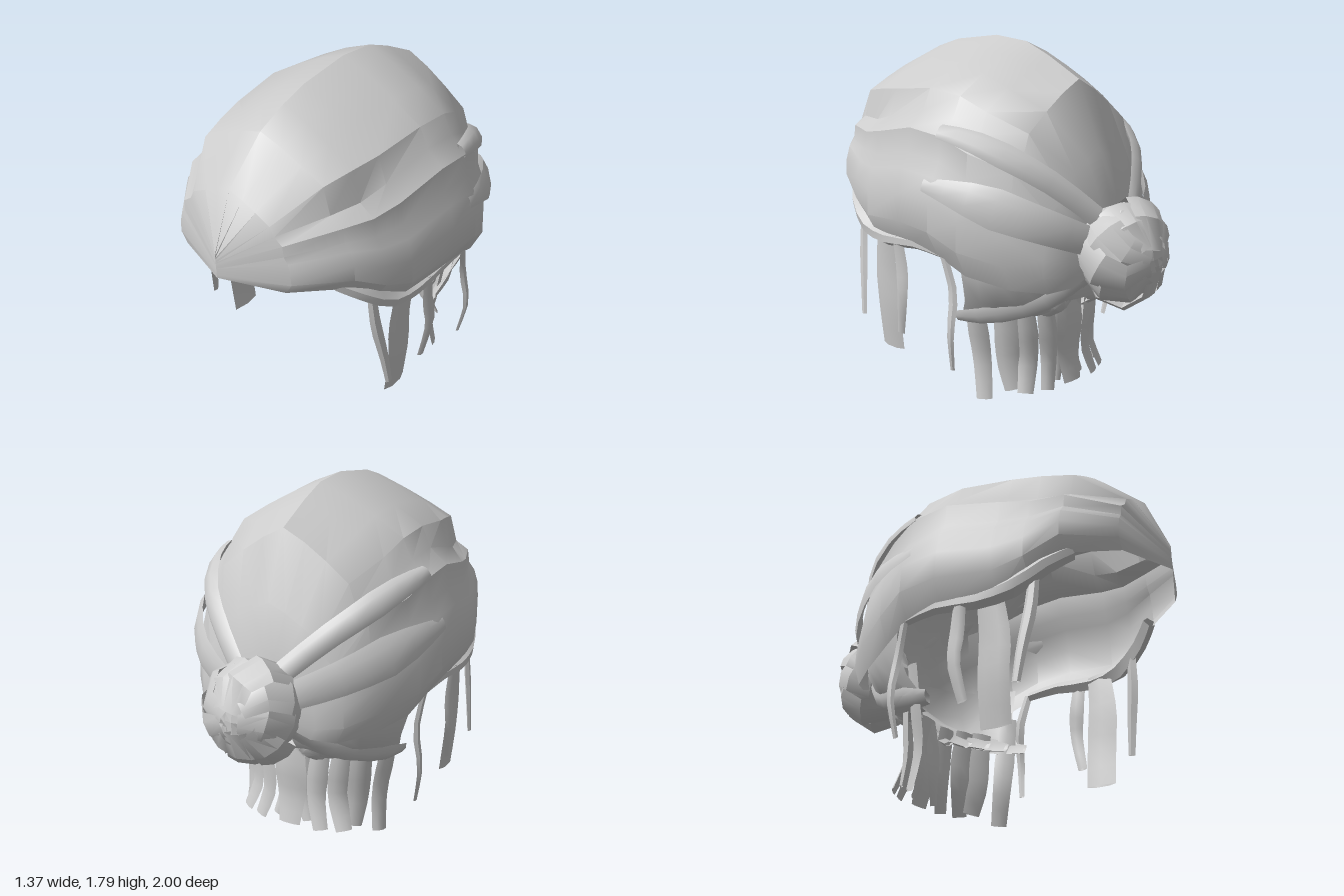
import * as THREE from 'three';
import { toCreasedNormals } from 'three/addons/utils/BufferGeometryUtils.js';

const material = new THREE.MeshStandardMaterial({ color: 0xcccccc, side: THREE.DoubleSide });

// Skin a list of cross-sections (rows of Vector3) into one surface
function loft(rows, closed = false, crease = 0.7) {
  const n = rows[0].length, pos = [], idx = [];
  rows.forEach(r => r.forEach(p => pos.push(p.x, p.y, p.z)));
  for (let i = 0; i < rows.length - 1; i++)
    for (let j = 0; j < (closed ? n : n - 1); j++) {
      const a = i * n + j, b = i * n + (j + 1) % n;
      idx.push(a, b, a + n, b, b + n, a + n);
    }
  const g = new THREE.BufferGeometry();
  g.setAttribute('position', new THREE.Float32BufferAttribute(pos, 3));
  g.setIndex(idx);
  return toCreasedNormals(g, crease);
}

const V = (x, y, z) => new THREE.Vector3(x, y, z);

function add(group, name, geometry) {
  const m = new THREE.Mesh(geometry, material);
  m.name = name;
  group.add(m);
}

// Tapered lock of hair: lens section swept along a path, lying flat around a centre.
// Without a centre the lock faces away from the vertical axis.
function lock(points, width, thick, { centre = null, tip = 0.6, root = 0.8, steps = 7 } = {}) {
  const curve = new THREE.CatmullRomCurve3(points.map(p => V(...p)));
  const rows = [];
  for (let i = 0; i <= steps; i++) {
    const t = i / steps, p = curve.getPoint(t), tan = curve.getTangent(t);
    const out = centre ? p.clone().sub(centre) : V(p.x, 0, p.z);
    const across = tan.clone().cross(out).normalize();
    const nrm = across.clone().cross(tan).normalize();
    const k = t < 0.4 ? root + (1 - root) * t / 0.4 : 1 + (tip - 1) * (t - 0.4) / 0.6;
    rows.push([[-0.5, 0], [-0.22, 0.5], [0.22, 0.5], [0.5, 0], [0, -0.4]].map(([a, b]) =>
      p.clone().addScaledVector(across, a * width * k).addScaledVector(nrm, b * thick * k)));
  }
  return loft(rows, true);
}

// Same lock on the left and the right
function pair(group, name, points, width, thick, options) {
  for (const s of [1, -1])
    add(group, (s > 0 ? 'left' : 'right') + name,
      lock(points.map(([x, y, z]) => [x * s, y, z]), width, thick, options));
}

export function createModel() {
  const model = new THREE.Group();
  model.name = 'hair';

  // Cap: arches from rim to rim, stepped where the layers overlap; the steps dip towards the front
  const profile = [[0, 1], [0.22, 0.94], [0.44, 0.86], [0.67, 0.765], [0.74, 0.66], [0.87, 0.585],
    [0.89, 0.46], [0.95, 0.39], [0.99, 0.27], [1, 0.13], [0.9, 0]];
  const arch = [...profile.slice(1).reverse().map(([u, h]) => [-u, h]), ...profile];
  const stations = [ // z, top, rim, half width, step height
    [1, 1.15, 1.02, 0, 1], [0.88, 1.44, 1.01, 0.35, 1], [0.66, 1.64, 0.98, 0.54, 0.85],
    [0.5, 1.71, 0.86, 0.6, 0.88], [0.35, 1.755, 0.78, 0.645, 0.95], [0.06, 1.79, 0.8, 0.685, 1],
    [-0.15, 1.77, 0.78, 0.68, 1], [-0.3, 1.71, 0.7, 0.635, 1], [-0.5, 1.61, 0.65, 0.52, 1],
    [-0.64, 1.28, 0.64, 0.4, 1], [-0.7, 1.08, 0.66, 0.28, 1], [-0.73, 0.9, 0.74, 0.06, 1]];
  add(model, 'cap', loft(stations.map(([z, top, rim, w, k]) =>
    arch.map(([u, h]) => V(u * w, rim + h * (Math.abs(u) > 0.7 ? k : 1) * (top - rim), z))), false, 0.6));

  // Nape: hair below the cap rim, drawn inwards
  const nape = [];
  for (let i = 0; i <= 14; i++) {
    const a = -Math.PI / 2 + Math.PI * i / 14, s = Math.sin(a), c = Math.cos(a);
    nape.push([V(0.57 * s, 0.84, -0.24 - 0.44 * c), V(0.55 * s, 0.68, -0.25 - 0.44 * c),
      V(0.5 * s, 0.55, -0.22 - 0.4 * c), V(0.45 * s, 0.42 + 0.09 * c, -0.14 - 0.36 * c)]);
  }
  add(model, 'nape', loft(nape));

  // Locks gathered from the nape up to the bun
  for (let i = 0; i < 5; i++) {
    const x = 0.46 - i * 0.075, z = -0.12 - i * 0.075;
    pair(model, 'NapeLock', [[x, 0.43, z], [x * 0.93, 0.46 + i * 0.012, z - 0.16 + i * 0.015],
      [x * 0.65, 0.55, -0.53], [0.06 + x * 0.25, 0.68, -0.67]], 0.14, 0.06,
    { centre: V(0, 0.8, -0.15), tip: 0.75, root: 0.55 });
  }

  // Overlapping locks on the cap: bands to the bun, roll along the rim
  pair(model, 'SweptBand', [[0.575, 1.38, -0.13], [0.53, 1.35, -0.3], [0.43, 1.26, -0.5],
    [0.3, 1.15, -0.63], [0.13, 0.99, -0.74]], 0.13, 0.05, { centre: V(0, 0.9, 0), tip: 0.8, root: 0.6 });
  pair(model, 'LowerBand', [[0.66, 1.13, -0.1], [0.615, 1.1, -0.32], [0.5, 1.03, -0.52],
    [0.36, 0.96, -0.66], [0.18, 0.88, -0.74]], 0.2, 0.035, { centre: V(0, 0.9, 0), tip: 0.7, root: 0.3 });
  pair(model, 'RimRoll', [[0.44, 1.0, 0.67], [0.52, 0.92, 0.57], [0.57, 0.82, 0.42],
    [0.59, 0.79, 0.25], [0.6, 0.81, 0.02], [0.59, 0.79, -0.16]], 0.1, 0.09, { tip: 0.5, steps: 10 });

  // Bun: lumpy ball wrapped in coiled, uneven locks
  const c = V(0, 0.8, -0.8);
  const ball = new THREE.SphereGeometry(1, 12, 8).toNonIndexed();
  const p = ball.attributes.position;
  for (let i = 0; i < p.count; i++) {
    const v = new THREE.Vector3().fromBufferAttribute(p, i);
    const k = 1 + 0.05 * Math.sin(5 * v.x + 3 * v.y) * Math.cos(4 * v.z - 2 * v.y);
    p.setXYZ(i, c.x + v.x * 0.21 * k, c.y + v.y * 0.24 * k, c.z + v.z * 0.18 * k);
  }
  ball.computeVertexNormals();
  add(model, 'bun', ball);
  for (let i = 0; i < 9; i++) {
    const a = i * Math.PI * 2 / 9, path = [], size = [1, 0.94, 1.04][i % 3];
    for (let j = 0; j <= 4; j++) {
      const lat = 0.2 + (i % 2) * 0.2 + j * 0.6, b = a + j * 0.3, r = Math.sin(lat) * size;
      path.push([c.x + Math.cos(b) * r * 0.225, c.y + Math.sin(b) * r * 0.25, c.z - Math.cos(lat) * 0.185]);
    }
    add(model, 'bunLock', lock(path, 0.2, 0.05, { centre: c, tip: 0.6, root: 0.6, steps: 4 }));
  }

  // Loose strands at the temples, lying flat against the sides
  const side = z => V(0, 0.5, z);
  pair(model, 'TempleStrand', [[0.53, 0.88, 0.52], [0.55, 0.7, 0.51], [0.58, 0.5, 0.48], [0.6, 0.33, 0.46]],
    0.07, 0.035, { centre: side(0.4) });
  pair(model, 'EarStrand', [[0.57, 0.82, 0.3], [0.555, 0.6, 0.32], [0.55, 0.4, 0.31], [0.525, 0.17, 0.31]],
    0.175, 0.035, { centre: side(0.31), tip: 0.95 });
  pair(model, 'EarStrand', [[0.61, 0.82, 0.16], [0.6, 0.65, 0.14], [0.61, 0.5, 0.13], [0.59, 0.3, 0.17]],
    0.09, 0.04, { centre: side(0.15) });
  pair(model, 'CheekStrand', [[0.6, 0.8, -0.17], [0.58, 0.6, -0.22], [0.61, 0.4, -0.23], [0.58, 0.2, -0.21]],
    0.06, 0.03, { centre: side(-0.2), tip: 0.5 });

  // Loose strands below the nape
  pair(model, 'NeckStrand', [[0.46, 0.62, -0.22], [0.42, 0.4, -0.22], [0.385, 0.2, -0.22], [0.4, 0.0, -0.25]],
    0.11, 0.035, { tip: 0.75 });
  // x, bottom, z, width, sideways drift
  [[0.33, 0.06, -0.34, 0.13, -0.02], [0.25, 0.05, -0.4, 0.12, 0.04], [0.15, 0.05, -0.45, 0.11, 0.03]]
    .forEach(([x, y, z, w, d]) => pair(model, 'BackStrand', [[x + 0.02, 0.52, z + 0.01], [x, 0.36, z],
      [x - 0.01, 0.2, z], [x + d, y, z - 0.03]], w, 0.03, { tip: 0.7 }));
  pair(model, 'InnerStrand', [[0.05, 0.54, -0.47], [0.06, 0.36, -0.45], [0.05, 0.2, -0.44], [0.09, 0.07, -0.46]],
    0.1, 0.03, { tip: 0.5 });
  add(model, 'middleStrand', lock([[0, 0.54, -0.46], [0, 0.36, -0.47], [0, 0.2, -0.46], [0, 0.05, -0.49]],
    0.19, 0.03, { tip: 0.65 }));

  return model;
}
